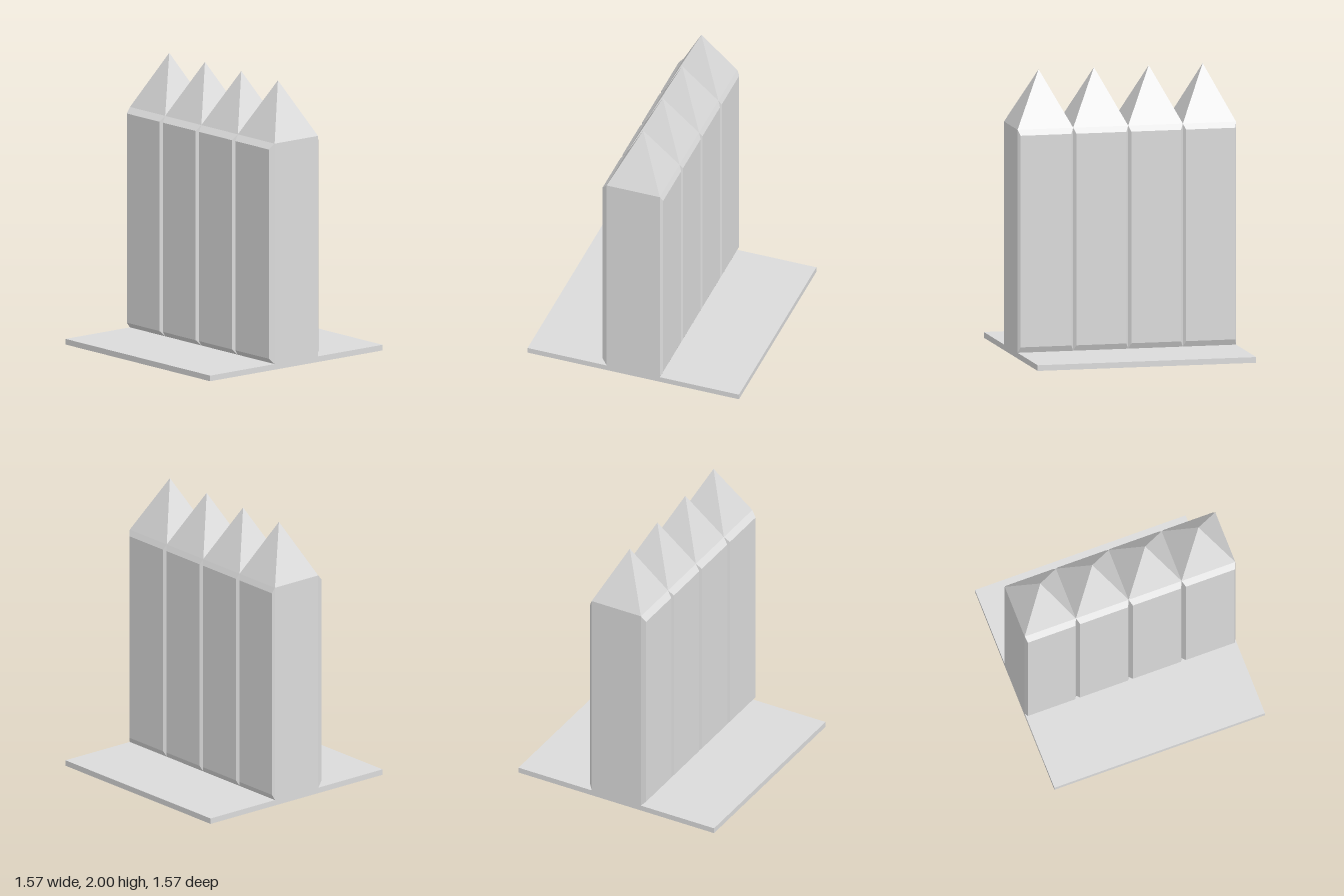
import * as THREE from 'three';

// Double-sided because the base plate is an open shell underneath
const grey = new THREE.MeshStandardMaterial({ color: 0xdbdbdb, side: THREE.DoubleSide });
grey.name = 'plain grey';

const BASE_TOP = 0.04, SHOULDER = 1.61, TIP = 2;
const HALF_BASE = 0.783, HALF_CORE = 0.197;
const BOX_FACES = ['left', 'right', 'top', 'bottom', 'front', 'back'];

function addMesh(parent, name, geometry) {
  const mesh = new THREE.Mesh(geometry, grey);
  mesh.name = name;
  parent.add(mesh);
  return mesh;
}

// Box given by its limits on each axis, without the faces listed in open
function boxBetween(x0, x1, y0, y1, z0, z1, open) {
  const geo = new THREE.BoxGeometry(x1 - x0, y1 - y0, z1 - z0)
    .translate((x0 + x1) / 2, (y0 + y1) / 2, (z0 + z1) / 2);
  const kept = Array.from(geo.index.array)
    .filter((_, i) => !open.includes(BOX_FACES[Math.floor(i / 6)]));
  geo.setIndex(kept);
  geo.clearGroups();
  return geo;
}

// Raised side panel: a box whose outer face is drawn in to give bevelled edges
function panelGeometry(inner, outer, zBack, zFront, insetBack) {
  const geo = boxBetween(Math.min(inner, outer), Math.max(inner, outer), BASE_TOP, SHOULDER,
    zBack, zFront, [outer > inner ? 'right' : 'left']);
  const p = geo.attributes.position;
  const midY = (BASE_TOP + SHOULDER) / 2, midZ = (zBack + zFront) / 2;
  for (let i = 0; i < p.count; i++) {
    if (Math.abs(p.getX(i) - outer) > 0.001) continue;
    p.setY(i, p.getY(i) > midY ? 1.57 : 0.08);
    p.setZ(i, p.getZ(i) > midZ ? zFront - 0.018 : zBack + insetBack);
  }
  geo.computeVertexNormals();
  return geo;
}

// Four-sided point with its sides square to the axes
function pointGeometry(width, depth, height) {
  const geo = new THREE.ConeGeometry(Math.SQRT1_2, height, 4, 1, true)
    .rotateY(Math.PI / 4).scale(width, 1, depth).toNonIndexed();
  geo.computeVertexNormals();
  return geo;
}

export function createModel() {
  const model = new THREE.Group();
  model.name = 'picketBlock';

  // Tray-like plate, hollow below
  addMesh(model, 'basePlate', boxBetween(-HALF_BASE, HALF_BASE, 0, BASE_TOP, -HALF_BASE, HALF_BASE, ['bottom']));

  // Flat end walls of the row
  addMesh(model, 'endWalls', boxBetween(-HALF_CORE, HALF_CORE, BASE_TOP, SHOULDER,
    -HALF_BASE, HALF_BASE, ['left', 'right', 'top', 'bottom']));

  // Row of four pointed posts from back to front
  const seams = [-HALF_BASE, -0.402, -0.01, 0.384, HALF_BASE];
  for (let i = 0; i < 4; i++) {
    const z0 = seams[i], z1 = seams[i + 1];
    const post = new THREE.Group();
    post.name = 'post' + (i + 1);
    model.add(post);

    const insetBack = i === 0 ? 0.01 : 0.018;
    addMesh(post, 'rightPanel', panelGeometry(-HALF_CORE, -0.234, z0, z1, insetBack));
    addMesh(post, 'leftPanel', panelGeometry(HALF_CORE, 0.215, z0, z1, insetBack));

    const point = addMesh(post, 'postPoint', pointGeometry(2 * HALF_CORE, z1 - z0, TIP - SHOULDER));
    point.position.set(0, (SHOULDER + TIP) / 2, (z0 + z1) / 2);
  }
  return model;
}
